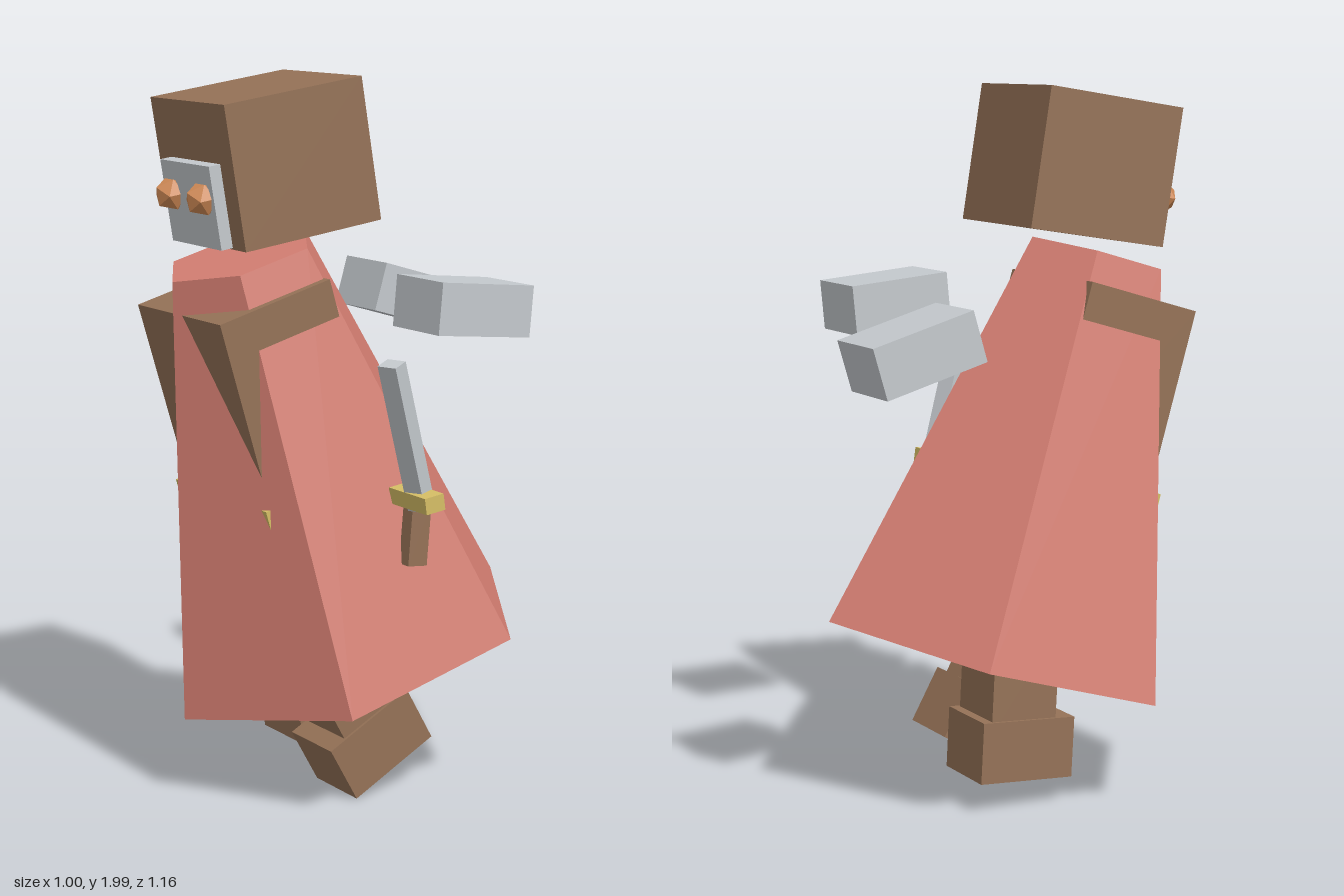
import * as THREE from 'three';

const deg = THREE.MathUtils.degToRad;

function material(name, color) {
  const m = new THREE.MeshStandardMaterial({ color });
  m.name = name;
  return m;
}

export function createModel() {
  const model = new THREE.Group();
  model.name = 'cloakedFigure';
  const brown = material('brown', 0x957257);
  const pink = material('dustyPink', 0xd47e72);
  const grey = material('paleGrey', 0xc4c9cd);
  const gold = material('gold', 0xd6be66);
  const orange = material('orange', 0xd08a56);

  // Pitch tips a part forward, then yaw turns it about the vertical
  const place = (obj, name, pos, pitch = 0, yaw = 0, parent = model) => {
    obj.name = name;
    obj.position.set(...pos);
    obj.rotation.set(deg(pitch), deg(yaw), 0, 'YXZ');
    parent.add(obj);
    return obj;
  };
  const box = (name, mat, size, pos, pitch, yaw, parent) =>
    place(new THREE.Mesh(new THREE.BoxGeometry(...size), mat), name, pos, pitch, yaw, parent);

  // Body leaning forward: six-sided cloak with the torso corners poking through
  const body = place(new THREE.Group(), 'body', [-0.03, 0.945, 0.2], 16.2, -4);
  const cloakGeometry = new THREE.CylinderGeometry(0.215, 0.536, 1.177, 6).toNonIndexed();
  cloakGeometry.computeVertexNormals();
  place(new THREE.Mesh(cloakGeometry, pink), 'cloak', [0, 0, 0], 0, 0, body);
  box('torso', brown, [0.465, 0.6, 0.35], [0, 0.199, 0.05], 0, 0, body);
  box('belt', gold, [0.508, 0.065, 0.4], [0, -0.057, 0.05], 0, 0, body);

  // Head with face plate and faceted eyes
  const head = place(new THREE.Group(), 'head', [-0.03, 1.77, 0.285], 9, -6);
  box('skull', brown, [0.437, 0.39, 0.416], [0, 0, 0], 0, 0, head);
  box('facePlate', grey, [0.29, 0.225, 0.04], [0, -0.078, 0.222], 0, 0, head);
  for (const [side, name] of [[1, 'leftEye'], [-1, 'rightEye']]) {
    const eye = new THREE.Mesh(new THREE.IcosahedronGeometry(0.048, 0), orange);
    place(eye, name, [side * 0.092, -0.055, 0.25], 0, 0, head);
  }

  // Legs in mid-stride, each with a block foot
  const leg = (side, pos, pitch) => {
    const g = place(new THREE.Group(), side + 'Leg', pos, pitch, -4);
    box(side + 'Foot', brown, [0.212, 0.172, 0.285], [0, 0, 0], 0, 0, g);
    box(side + 'Shin', brown, [0.195, 0.3, 0.2], [0, 0.2, -0.013], 0, 0, g);
  };
  leg('left', [0.13, 0.147, 0.078], 29);
  leg('right', [-0.18, 0.168, -0.01], 3);

  // Floating hands
  box('leftHand', grey, [0.22, 0.142, 0.3], [0.333, 1.374, -0.115], -5.5, -3.5);
  box('rightHand', grey, [0.22, 0.143, 0.3], [-0.335, 1.313, -0.412], -16.5, -4);

  // Dagger
  const dagger = place(new THREE.Group(), 'dagger', [0, 0, 0]);
  box('blade', grey, [0.06, 0.43, 0.045], [0.43, 1.056, 0.15], 18, 15, dagger);
  box('guard', gold, [0.175, 0.045, 0.06], [0.41, 0.88, 0.1], 8, -4, dagger);
  box('handle', brown, [0.045, 0.18, 0.06], [0.378, 0.78, 0.08], -5, -4, dagger);

  return model;
}
